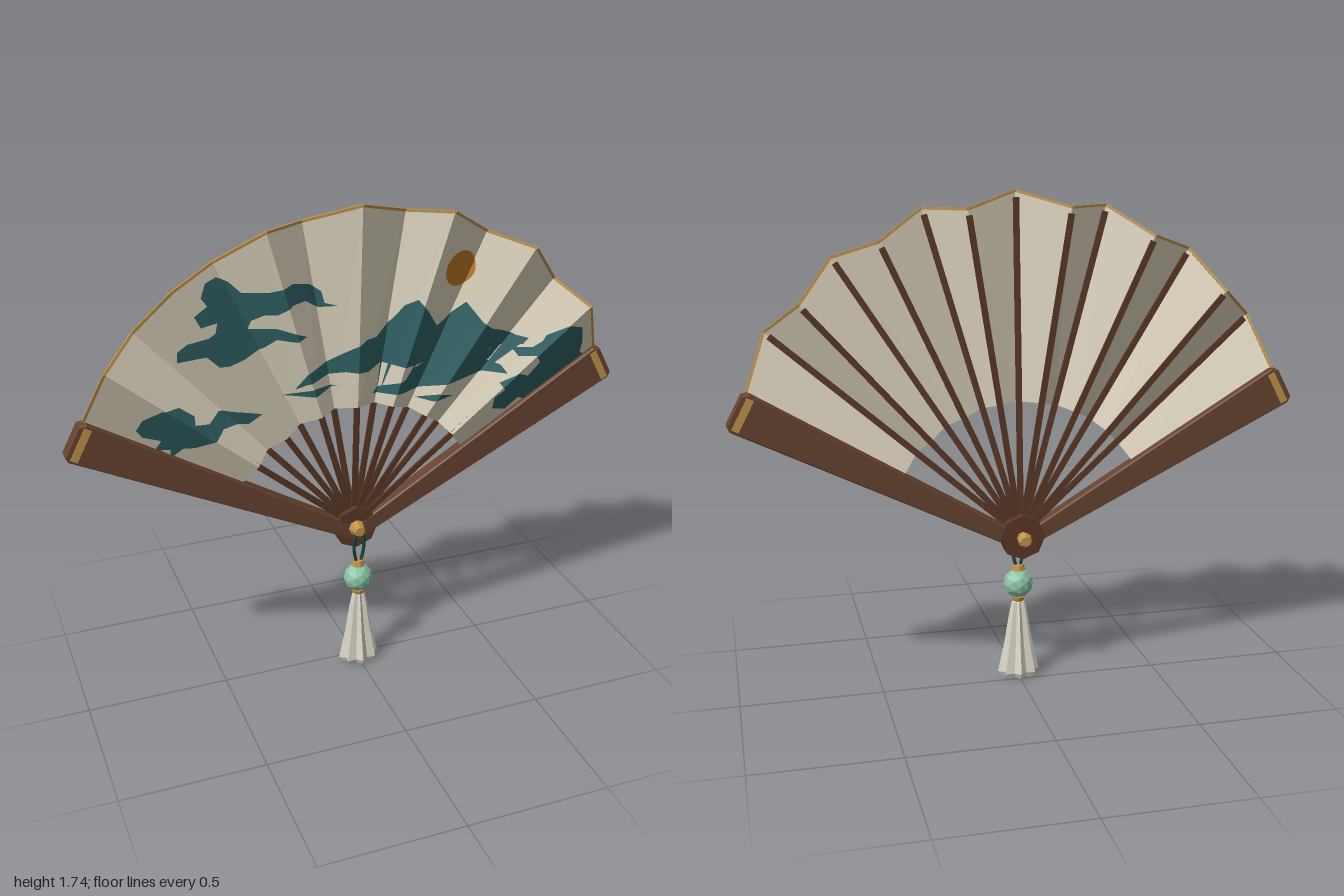
import * as THREE from 'three';

const mat = (name, color, side = THREE.FrontSide) =>
  Object.assign(new THREE.MeshStandardMaterial({ color, side, flatShading: true }), { name });
const paper = mat('cream paper', 0xddd4be, THREE.DoubleSide);
const silk = mat('pale silk', 0xdfdacb);
const teal = mat('teal paint', 0x2f6265, THREE.DoubleSide);
const sunPaint = mat('ochre paint', 0xc47a26, THREE.DoubleSide);
const wood = mat('walnut', 0x66432f);
const darkWood = mat('dark walnut', 0x593826);
const gold = mat('gold', 0xc0924a);
const jade = mat('jade', 0x8cc4a6);
const cordMat = mat('dark cord', 0x1b4547);

const PIVOT_Y = 0.55, INNER_R = 0.475;

function add(parent, name, geometry, material, x = 0, y = 0, z = 0) {
  const mesh = new THREE.Mesh(geometry, material);
  mesh.name = name;
  mesh.position.set(x, y, z);
  parent.add(mesh);
  return mesh;
}

// a straight bar between two points
function bar(parent, name, a, b, width, depth, material) {
  const mesh = add(parent, name, new THREE.BoxGeometry(width, a.distanceTo(b), depth), material);
  mesh.position.copy(a).add(b).multiplyScalar(0.5);
  const yAxis = b.clone().sub(a).normalize();
  const xAxis = new THREE.Vector3().crossVectors(yAxis, new THREE.Vector3(0, 0, 1)).normalize();
  const zAxis = new THREE.Vector3().crossVectors(xAxis, yAxis);
  mesh.quaternion.setFromRotationMatrix(new THREE.Matrix4().makeBasis(xAxis, yAxis, zAxis));
  return mesh;
}

function triangleMesh(points) {
  const g = new THREE.BufferGeometry().setFromPoints(points);
  g.computeVertexNormals();
  return g;
}

// fold lines from the model's right to its left; ridges and valleys alternate
function makeFolds() {
  const half = [[0.922, 1.11], [0.854, 1.292], [0.742, 1.388], [0.625, 1.532],
    [0.475, 1.586], [0.32, 1.687], [0.178, 1.687]];
  const rim = [...half.map(([x, y]) => [-x, y]), [0, 1.74], ...half.slice().reverse()];
  return rim.map(([x, y], i) => {
    const ridge = i % 2 === 1, r = Math.hypot(x, y - PIVOT_Y), k = INNER_R / r;
    return {
      ridge,
      outer: new THREE.Vector3(x, y, ridge ? 0.078 : 0),
      inner: new THREE.Vector3(x * k, PIVOT_Y + (y - PIVOT_Y) * k, ridge ? 0.034 : 0),
    };
  });
}

// counter-clockwise triangles of the pleated leaf
function leafTriangles(folds) {
  const list = [];
  for (let i = 0; i < folds.length - 1; i++) {
    const a = folds[i], b = folds[i + 1];
    list.push([a.inner, b.inner, b.outer], [a.inner, b.outer, a.outer]);
  }
  return list;
}

const cross = (a, b, p) => (b.x - a.x) * (p.y - a.y) - (b.y - a.y) * (p.x - a.x);

// cut a flat outline by one leaf triangle
function clip(outline, tri) {
  let out = outline;
  for (let e = 0; e < 3 && out.length; e++) {
    const a = tri[e], b = tri[(e + 1) % 3], next = [];
    out.forEach((p, i) => {
      const q = out[(i + 1) % out.length], dp = cross(a, b, p), dq = cross(a, b, q);
      if (dp >= 0) next.push(p);
      if (dp * dq < 0) next.push(p.clone().lerp(q, dp / (dp - dq)));
    });
    out = next;
  }
  return out;
}

// lay a painted outline over the pleats
function paint(parent, name, outline, tris, material) {
  const verts = [];
  for (const tri of tris) {
    const piece = clip(outline, tri);
    if (piece.length < 3) continue;
    const n = new THREE.Vector3().subVectors(tri[1], tri[0])
      .cross(new THREE.Vector3().subVectors(tri[2], tri[0]));
    const lift = (p) => new THREE.Vector3(p.x, p.y,
      0.004 + tri[0].z - (n.x * (p.x - tri[0].x) + n.y * (p.y - tri[0].y)) / n.z);
    for (const f of THREE.ShapeUtils.triangulateShape(piece, [])) {
      const [a, b, c] = f.map((i) => piece[i]), area = cross(a, b, c);
      if (Math.abs(area) < 1e-8) continue;
      verts.push(...(area > 0 ? [a, b, c] : [a, c, b]).map(lift));
    }
  }
  add(parent, name, triangleMesh(verts), material);
}

// outlines in hundredths: x, y, x, y ...
const MOTIFS = {
  upperCloud: [-47, 154, -43, 152, -39, 148, -31, 148, -23, 150, -16, 148, -12, 145, -11, 141, -7, 140,
    -13, 139.5, -18, 143, -23, 143, -28, 140, -32, 140, -36, 138, -37, 135, -28, 135, -22, 133, -18, 131,
    -22, 130, -28, 131, -32, 128, -39, 126, -48, 125, -52, 129, -61, 127, -61, 131, -58, 134, -52, 136,
    -49, 137, -48, 140, -54, 140, -56, 144, -51, 146, -53, 149, -51, 153],
  lowerCloud: [-76, 106, -74, 110, -68, 113, -62, 113, -57, 109, -57, 106, -52, 105, -48, 108, -43, 107,
    -34, 106, -38, 102, -47, 102, -50, 99, -57, 97, -61, 97, -65, 93, -65, 97, -70, 97, -68, 101, -74, 103],
  mountains: [-22, 112, -18, 118, -10, 120, -3, 124, 3, 127, 7, 127, 13, 132, 17, 137, 21, 139, 25, 134,
    29, 128, 33, 130, 40, 135, 45, 128, 49, 125, 54, 123, 60, 120, 64, 119, 62, 117, 54, 117, 49, 117,
    52, 114, 49, 112, 54, 110, 56, 107, 48, 108, 38, 107, 28, 106, 17, 105, 6, 106, 8, 108, 17, 110,
    21, 114, 25, 115, 17, 115, 9, 117, 4, 115, -4, 116, -12, 115, -18, 114],
  leftMist: [-26, 110, -15, 112, -7, 111, -15, 109],
  rightMist: [22, 102, 30, 103, 36, 101, 28, 100.5],
  rightCloud: [51, 94, 51, 99, 55, 101, 53, 104, 60, 107, 64, 105, 68, 110, 66, 113, 60, 113, 58, 116,
    67, 116, 70, 120, 78, 123, 84, 121, 86, 114, 86, 110, 90, 107, 82, 103, 83, 99, 76, 98, 72, 95,
    66, 94, 62, 96, 57, 92],
};

// tapered outer stick with gold tip inlays, on the +x side
function makeGuard() {
  const guard = new THREE.Group();
  const pts = [[-0.02, -0.045], [1.07, -0.068], [1.086, -0.056], [1.086, 0.052], [1.066, 0.066], [0.0, 0.0]];
  const geo = new THREE.ExtrudeGeometry(new THREE.Shape(pts.map((p) => new THREE.Vector2(...p))),
    { depth: 0.04, bevelSize: 0.004, bevelThickness: 0.006, bevelSegments: 1 });
  add(guard, 'guardStick', geo, wood, 0, 0, -0.024);
  for (const z of [0.023, -0.031])
    add(guard, 'tipInlay', new THREE.BoxGeometry(0.026, 0.118, 0.004), gold, 1.058, -0.002, z);
  guard.rotation.z = THREE.MathUtils.degToRad(27.6);
  guard.position.y = PIVOT_Y;
  return guard;
}

function makeTassel() {
  const t = new THREE.Group();
  t.name = 'tassel';
  t.position.z = 0.037;
  // cord loop over the rivet
  const path = new THREE.CatmullRomCurve3([[-0.006, 0.41, 0], [-0.018, 0.47, 0.004], [-0.014, 0.53, 0.01],
    [0, 0.55, 0.012], [0.014, 0.53, 0.01], [0.018, 0.47, 0.004], [0.006, 0.41, 0]]
    .map((p) => new THREE.Vector3(...p)));
  add(t, 'cordLoop', new THREE.TubeGeometry(path, 20, 0.0065, 5), cordMat);
  add(t, 'upperCollar', new THREE.CylinderGeometry(0.02, 0.025, 0.02, 8), gold, 0, 0.416, 0);
  add(t, 'jadeBead', new THREE.IcosahedronGeometry(0.054, 1), jade, 0, 0.355, 0).scale.z = 0.88;
  add(t, 'lowerCollar', new THREE.CylinderGeometry(0.024, 0.02, 0.016, 8), gold, 0, 0.297, 0);
  // fluted skirt: every second edge is drawn inwards
  const profile = [[0.001, 0.01], [0.06, 0], [0.076, 0.02], [0.052, 0.13], [0.034, 0.24], [0.024, 0.285], [0.001, 0.292]];
  const skirt = new THREE.LatheGeometry(profile.map((p) => new THREE.Vector2(...p)), 16);
  const pos = skirt.attributes.position;
  for (let i = 0; i < pos.count; i++) {
    const k = Math.floor(i / profile.length) % 2 ? 0.74 : 1;
    pos.setXYZ(i, pos.getX(i) * k, pos.getY(i), pos.getZ(i) * k * 0.72);
  }
  skirt.computeVertexNormals();
  add(t, 'tasselSkirt', skirt, silk);
  return t;
}

export function createModel() {
  const fan = new THREE.Group();
  fan.name = 'foldingFan';
  const folds = makeFolds(), tris = leafTriangles(folds);

  // pleated leaf with gold rim
  add(fan, 'leaf', triangleMesh(tris.flat()), paper);
  for (let i = 0; i < folds.length - 1; i++)
    bar(fan, 'rimTrim', folds[i].outer, folds[i + 1].outer, 0.009, 0.007, gold);

  // painted scene
  for (const [name, v] of Object.entries(MOTIFS)) {
    const outline = [];
    for (let i = 0; i < v.length; i += 2) outline.push(new THREE.Vector2(v[i] / 100, v[i + 1] / 100));
    paint(fan, name, outline, tris, teal);
  }
  const sun = new THREE.Path().absarc(0.37, 1.475, 0.064, 0, Math.PI * 2).getPoints(24).slice(0, -1);
  paint(fan, 'sun', sun, tris, sunPaint);

  // ribs behind every inner fold
  for (const f of folds.slice(1, -1)) {
    const back = new THREE.Vector3(0, 0, f.ridge ? -0.011 : -0.006);
    const root = new THREE.Vector3(0, PIVOT_Y, f.ridge ? 0.005 : 0).add(back);
    const tip = f.inner.clone().lerp(f.outer, 0.97).add(back);
    bar(fan, 'rib', root, tip, 0.021, 0.008, darkWood);
  }

  // guards, mirrored
  for (const s of [1, -1]) {
    const side = new THREE.Group();
    side.name = s > 0 ? 'leftGuard' : 'rightGuard';
    side.add(makeGuard());
    side.scale.x = s;
    fan.add(side);
  }

  // hub and rivet
  const disc = (name, r1, r2, depth, sides, material, z) => {
    add(fan, name, new THREE.CylinderGeometry(r1, r2, depth, sides), material, 0, PIVOT_Y, z).rotation.x = Math.PI / 2;
  };
  disc('hub', 0.08, 0.08, 0.06, 8, darkWood, -0.009);
  disc('rivetHead', 0.018, 0.03, 0.036, 8, gold, 0.04);
  disc('rivetShank', 0.022, 0.022, 0.035, 8, gold, -0.055);
  disc('rivetTail', 0.027, 0.018, 0.016, 8, gold, -0.078);

  fan.add(makeTassel());
  return fan;
}
